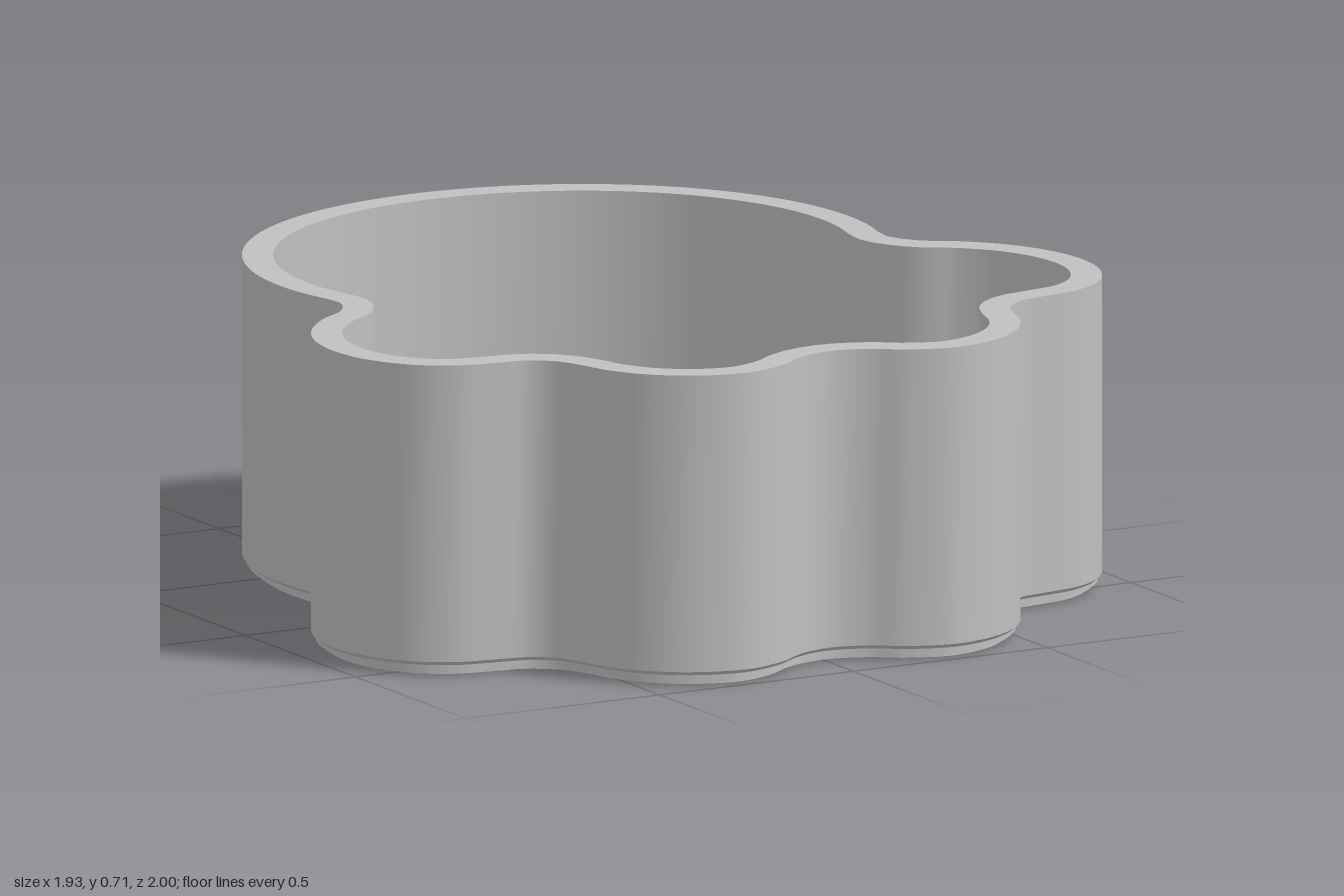
import * as THREE from 'three';
import { mergeGeometries, toCreasedNormals } from 'three/addons/utils/BufferGeometryUtils.js';

const HEIGHT = 0.715, WALL = 0.07, FLOOR = 0.14, POST_TOP = 0.36;
const POST_Z = -0.313, SEGMENTS = 240;

// Closed lobed outline in (x, z), mirrored across x = 0
function createOutline() {
  const half = [];
  for (let i = 0; i <= 14; i++) {
    const t = (i / 14) * THREE.MathUtils.degToRad(105);
    half.push([0.735 * Math.sin(t), -0.31 - 0.69 * Math.cos(t)]);
  }
  half.push(
    [0.706, -0.085], [0.745, -0.015], [0.825, 0.042], [0.9, 0.125], [0.951, 0.23], // neck, side lobe
    [0.967, 0.35], [0.945, 0.46], [0.885, 0.555], [0.8, 0.612], [0.7, 0.632],
    [0.635, 0.645], [0.585, 0.685], [0.557, 0.745], [0.535, 0.815],                // side notch
    [0.48, 0.9], [0.39, 0.968], [0.27, 0.998], [0.16, 0.965], [0.085, 0.915], [0, 0.893], // front lobe
  );
  const mirrored = half.slice(1, -1).reverse().map(([x, z]) => [-x, z]);
  const points = [...half, ...mirrored].map(([x, z]) => new THREE.Vector3(x, 0, z));
  return new THREE.CatmullRomCurve3(points, true, 'centripetal').getSpacedPoints(SEGMENTS).slice(0, SEGMENTS);
}

// Move every outline point inward along its normal
function inset(outline, distance) {
  const n = outline.length;
  return outline.map((p, i) => {
    const t = outline[(i + 1) % n].clone().sub(outline[(i + n - 1) % n]).normalize();
    return new THREE.Vector2(p.x - t.z * distance, p.z + t.x * distance);
  });
}

// Band between two rings: smooth around, sharp at its edges
function band(ringA, yA, ringB, yB) {
  const n = ringA.length, positions = [], index = [];
  ringA.forEach((p) => positions.push(p.x, yA, p.y));
  ringB.forEach((p) => positions.push(p.x, yB, p.y));
  for (let i = 0; i < n; i++) {
    const j = (i + 1) % n;
    index.push(i, n + i, j, j, n + i, n + j);
  }
  const g = new THREE.BufferGeometry();
  g.setAttribute('position', new THREE.Float32BufferAttribute(positions, 3));
  g.setIndex(index);
  g.computeVertexNormals();
  return g;
}

// Flat horizontal face filling a ring
function cap(ring, y, up) {
  const shape = new THREE.Shape(ring.map((p) => new THREE.Vector2(p.x, up ? -p.y : p.y)));
  const g = new THREE.ShapeGeometry(shape);
  g.rotateX(up ? -Math.PI / 2 : Math.PI / 2).translate(0, y, 0);
  g.deleteAttribute('uv');
  return g;
}

export function createModel() {
  const model = new THREE.Group();
  model.name = 'lobedTray';
  const grey = new THREE.MeshStandardMaterial({ color: 0xc0c0c0 });
  grey.name = 'lightGrey';

  const add = (name, geometry) => {
    const mesh = new THREE.Mesh(geometry, grey);
    mesh.name = name;
    model.add(mesh);
    return mesh;
  };

  // Section of the wall as [inset, y]: stepped foot, outer wall, rim, inner wall
  const outline = createOutline();
  const profile = [
    [0.032, 0], [0.032, 0.008], [0.02, 0.008], [0.02, 0.016], [0.01, 0.016],
    [0.01, 0.025], [0, 0.034], [0, HEIGHT], [WALL, HEIGHT], [WALL, FLOOR],
  ];
  const rings = profile.map(([d]) => inset(outline, d));
  const bands = profile.slice(1).map(([, y], i) => band(rings[i], profile[i][1], rings[i + 1], y));
  add('wall', mergeGeometries(bands));
  add('floor', cap(rings[rings.length - 1], FLOOR, true));
  add('underside', cap(rings[0], 0, false));

  // Round post with a cross-shaped socket
  const post = new THREE.Shape().absarc(0, 0, 0.131, 0, Math.PI * 2, false);
  const a = 0.099, b = 0.033;
  const cross = [
    [a, b], [a, -b], [b, -b], [b, -a], [-b, -a], [-b, -b],
    [-a, -b], [-a, b], [-b, b], [-b, a], [b, a], [b, b],
  ];
  post.holes.push(new THREE.Path(cross.map(([x, y]) => new THREE.Vector2(x, y))));
  const postGeometry = new THREE.ExtrudeGeometry(post, {
    depth: POST_TOP - FLOOR, bevelEnabled: false, curveSegments: 48,
  });
  postGeometry.rotateX(-Math.PI / 2);
  add('socketPost', toCreasedNormals(postGeometry, 0.6)).position.set(0, FLOOR, POST_Z);

  return model;
}
